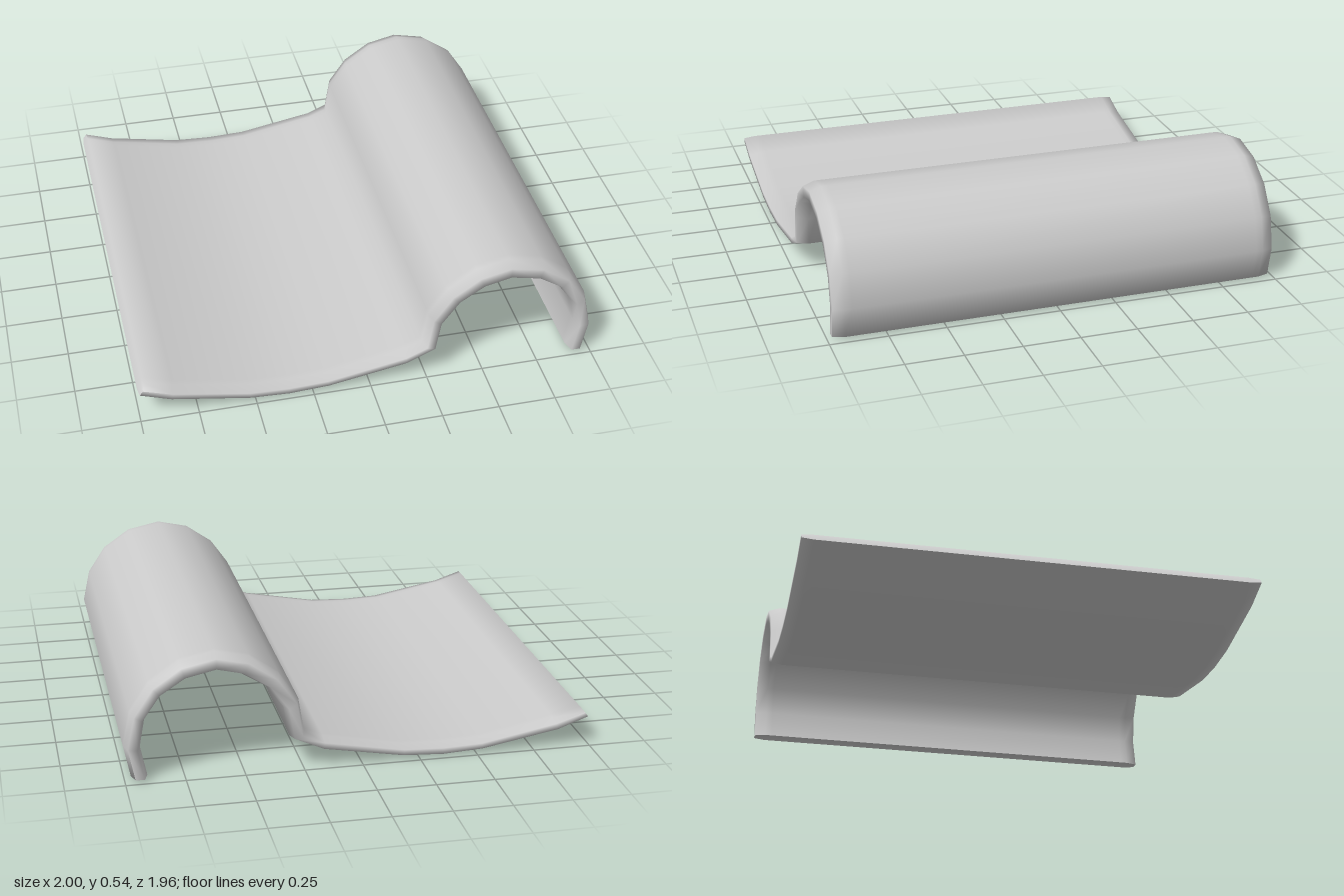
import * as THREE from 'three';
import { toCreasedNormals } from 'three/addons/utils/BufferGeometryUtils.js';

// Paired points across the tile: [outer x, outer y, inner x, inner y]
const PROFILE = [
  // shallow pan
  [-0.975, 0.155, -1.0, 0.12], [-0.85, 0.115, -0.865, 0.07], [-0.525, 0.053, -0.525, 0.01],
  [-0.355, 0.047, -0.355, 0], [-0.185, 0.053, -0.18, 0.01], [0.16, 0.117, 0.165, 0.07],
  // kink where the pan meets the roll
  [0.24, 0.15, 0.303, 0.133],
  // round roll
  [0.265, 0.3, 0.325, 0.262], [0.347, 0.417, 0.4, 0.364], [0.47, 0.503, 0.502, 0.428],
  [0.612, 0.535, 0.612, 0.455], [0.763, 0.503, 0.735, 0.428], [0.887, 0.417, 0.837, 0.364],
  [0.968, 0.295, 0.908, 0.262], [1.0, 0.148, 0.93, 0.14], [0.972, 0.01, 0.903, 0.01],
];

// Rings along z: [z, share of the thickness taken off each face]
const RINGS = [
  [-0.98, 0.22], [-0.93, 0], [-0.9, 0], [0.9, 0], [0.93, 0], [0.98, 0.22],
];

function tileGeometry() {
  const n = PROFILE.length;
  const loop = 2 * n;
  const positions = [];
  const index = [];

  for (const [z, inset] of RINGS) {
    const outer = PROFILE.map(([ox, oy, ix, iy]) =>
      [ox + (ix - ox) * inset, oy + (iy - oy) * inset, z]);
    const inner = PROFILE.map(([ox, oy, ix, iy]) =>
      [ix + (ox - ix) * inset, iy + (oy - iy) * inset, z]);
    positions.push(...outer.flat(), ...inner.reverse().flat());
  }

  // skin between neighbouring rings
  for (let r = 0; r < RINGS.length - 1; r++) {
    for (let i = 0; i < loop; i++) {
      const j = (i + 1) % loop;
      const a = r * loop + i, b = r * loop + j;
      index.push(a, a + loop, b + loop, a, b + loop, b);
    }
  }

  // strips closing the back and front ends
  const front = (RINGS.length - 1) * loop;
  for (let i = 0; i < n - 1; i++) {
    const o0 = i, o1 = i + 1, i0 = loop - 1 - i, i1 = loop - 2 - i;
    index.push(o0, i1, i0, o0, o1, i1);
    index.push(front + o0, front + i0, front + i1, front + o0, front + i1, front + o1);
  }

  const geometry = new THREE.BufferGeometry();
  geometry.setAttribute('position', new THREE.Float32BufferAttribute(positions, 3));
  geometry.setIndex(index);
  return toCreasedNormals(geometry, 1.45);
}

export function createModel() {
  const group = new THREE.Group();
  group.name = 'roofTile';
  const tile = new THREE.Mesh(tileGeometry(), new THREE.MeshStandardMaterial({ color: 0xcccccc }));
  tile.name = 'panAndRoll';
  group.add(tile);
  return group;
}
